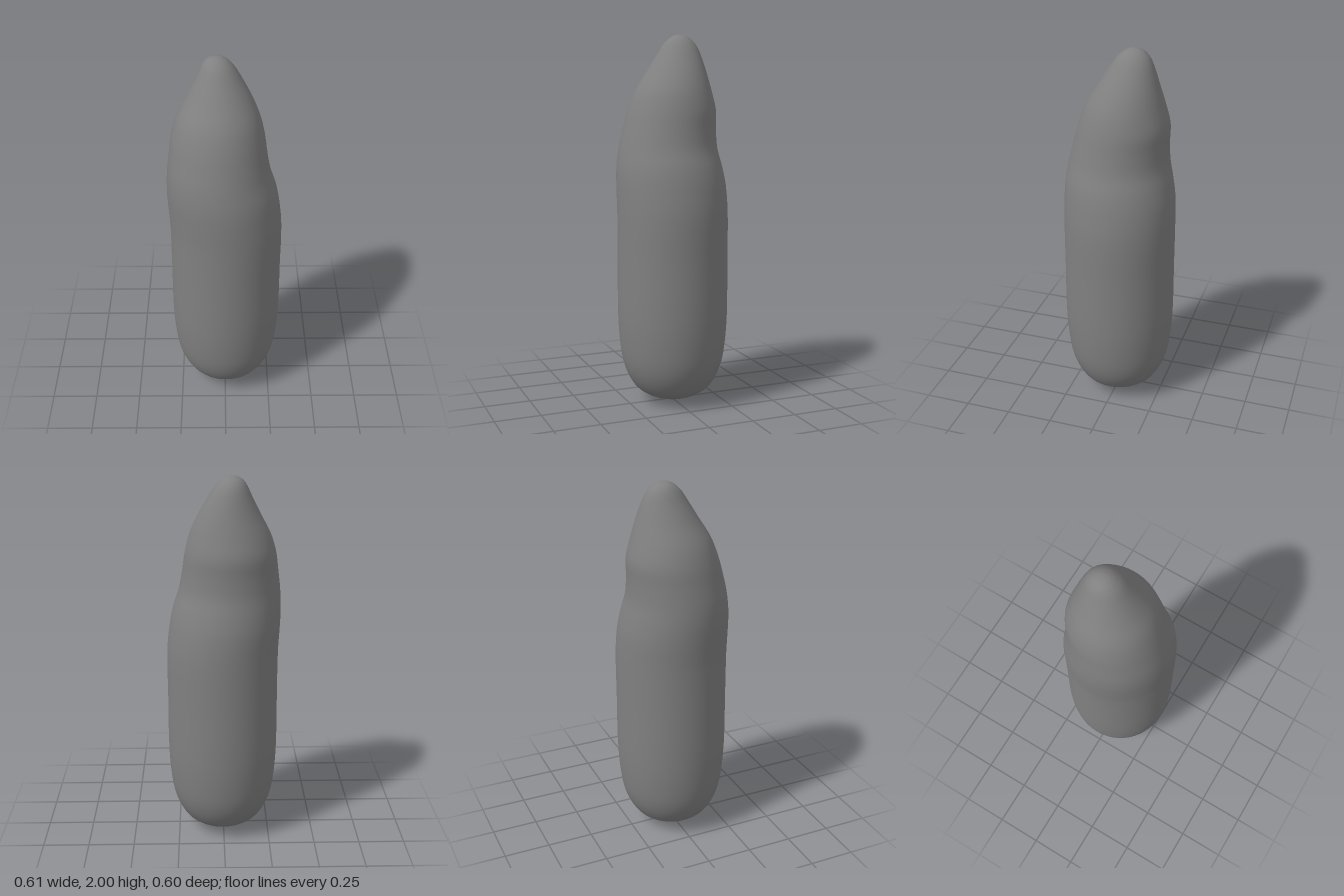
import * as THREE from 'three';

// Body cross-sections: [y, xMin, xMax, zMin, zMax]
const sections = [
  [0.00, 0.004, 0.004, 0, 0],
  [0.02, -0.076, 0.084, -0.08, 0.08],
  [0.05, -0.151, 0.159, -0.155, 0.155],
  [0.10, -0.211, 0.219, -0.215, 0.215],
  [0.20, -0.261, 0.269, -0.265, 0.265],
  [0.32, -0.284, 0.292, -0.288, 0.288],
  [0.50, -0.295, 0.304, -0.3, 0.3],
  [0.80, -0.295, 0.304, -0.3, 0.3],
  [1.05, -0.296, 0.304, -0.3, 0.3],
  [1.20, -0.304, 0.288, -0.293, 0.3],
  [1.30, -0.307, 0.268, -0.276, 0.295],
  [1.40, -0.302, 0.236, -0.255, 0.279],
  [1.50, -0.29, 0.217, -0.25, 0.255],
  [1.60, -0.276, 0.202, -0.251, 0.227],
  [1.70, -0.245, 0.176, -0.227, 0.188],
  [1.80, -0.193, 0.132, -0.199, 0.127],
  [1.90, -0.144, 0.076, -0.168, 0.064],
  [1.95, -0.12, 0.043, -0.145, 0.03],
  [1.98, -0.098, 0.014, -0.118, -0.002],
  [1.995, -0.073, -0.013, -0.091, -0.029],
  [1.999, -0.056, -0.03, -0.073, -0.047],
  [2.00, -0.043, -0.043, -0.06, -0.06],
];
const last = sections.length - 1;

// Smooth value of one column at a fractional section number
function sample(t, column) {
  const i = Math.min(Math.floor(t), last - 1);
  const f = t - i;
  const [y0, y1] = [sections[i][0], sections[i + 1][0]];
  const [p, q] = [sections[i][column], sections[i + 1][column]];
  // The end spans stay straight
  if (i === 0 || i === last - 1) return p + (q - p) * f;
  const slope = (k) => {
    const a = sections[k - 1], b = sections[k + 1];
    return (b[column] - a[column]) / (b[0] - a[0]);
  };
  const h = y1 - y0, f2 = f * f, f3 = f2 * f;
  return (2 * f3 - 3 * f2 + 1) * p + (f3 - 2 * f2 + f) * h * slope(i)
    + (3 * f2 - 2 * f3) * q + (f3 - f2) * h * slope(i + 1);
}

// Elliptical rings between a bottom and a top pole
function loft(sides, steps) {
  const rings = last * steps;
  const top = 1 + (rings - 1) * sides;
  const positions = [], indices = [];
  // Each pole is a single vertex
  const vertex = (r, s) => {
    if (r === 0) return 0;
    return r === rings ? top : 1 + (r - 1) * sides + (s % sides);
  };
  for (let r = 0; r <= rings; r++) {
    const [y, x0, x1, z0, z1] = [0, 1, 2, 3, 4].map((c) => sample(r / steps, c));
    const count = r === 0 || r === rings ? 1 : sides;
    for (let s = 0; s < count; s++) {
      const a = (s / sides) * Math.PI * 2;
      positions.push(
        (x0 + x1) / 2 + ((x1 - x0) / 2) * Math.sin(a),
        y,
        (z0 + z1) / 2 + ((z1 - z0) / 2) * Math.cos(a),
      );
    }
  }
  for (let r = 0; r < rings; r++) {
    for (let s = 0; s < sides; s++) {
      const a = vertex(r, s), b = vertex(r, s + 1);
      const c = vertex(r + 1, s + 1), d = vertex(r + 1, s);
      if (a !== b) indices.push(a, b, c);
      if (c !== d) indices.push(a, c, d);
    }
  }
  const geometry = new THREE.BufferGeometry();
  geometry.setAttribute('position', new THREE.Float32BufferAttribute(positions, 3));
  geometry.setIndex(indices);
  geometry.computeVertexNormals();
  return geometry;
}

export function createModel() {
  const model = new THREE.Group();
  const material = new THREE.MeshStandardMaterial({ color: 0x808080 });
  // Rounded column with a leaning, pinched tip
  const body = new THREE.Mesh(loft(64, 4), material);
  body.name = 'body';
  model.add(body);
  return model;
}
